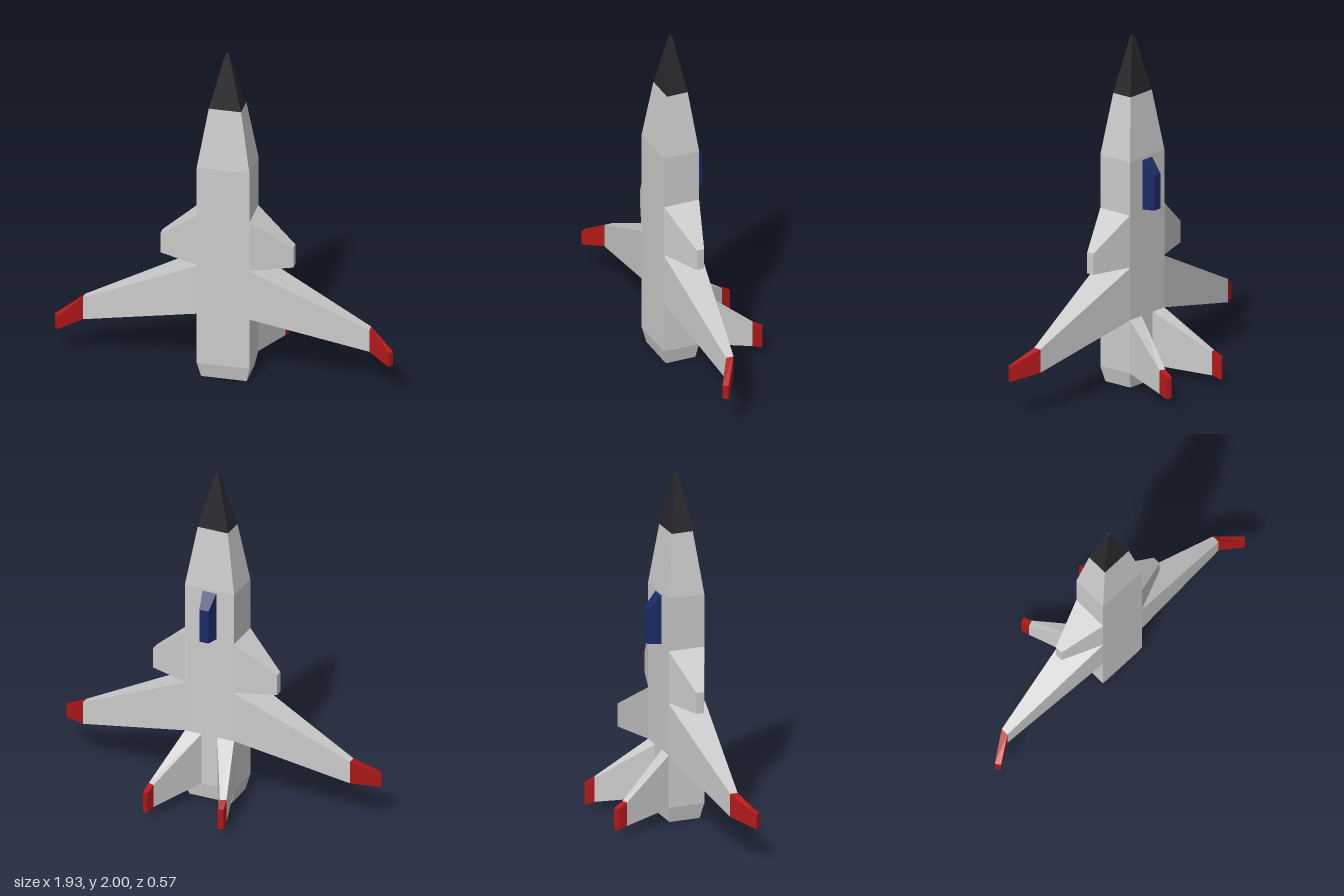
import * as THREE from 'three';

const GREY = 0xcccccc, RED = 0xb01818, DARK = 0x27272b, BLUE = 0x1b2a66, ORANGE = 0xd9761c;

// Rectangular cross-sections, counter-clockwise seen from the direction of travel
const alongY = (y, x, z0, z1) => [[-x, y, z1], [x, y, z1], [x, y, z0], [-x, y, z0]];
const alongX = (y0, y1, [xBack, zBack], [xFront, zFront]) => [
  [xFront, y0, zFront], [xBack, y0, zBack], [xBack, y1, zBack], [xFront, y1, zFront]];
const alongBack = (y0, y1, [xIn, zIn], [xOut, zOut]) => [
  [xOut, y0, zOut], [xIn, y0, zIn], [xIn, y1, zIn], [xOut, y1, zOut]];

// Skin a run of four-cornered sections; side -1 builds the mirror image
function loft(name, color, sections, { side = 1, start = true, end = true } = {}) {
  const rings = sections.map((ring) => {
    const pts = ring.map(([x, y, z]) => [x * side, y, z]);
    return side < 0 ? pts.reverse() : pts;
  });
  const pos = [];
  const quad = (a, b, c, d) => pos.push(...a, ...b, ...c, ...a, ...c, ...d);
  for (let i = 0; i + 1 < rings.length; i++) {
    const lo = rings[i], hi = rings[i + 1];
    for (let j = 0; j < 4; j++) {
      const k = (j + 1) % 4;
      quad(lo[j], lo[k], hi[k], hi[j]);
    }
  }
  if (start) quad(...[...rings[0]].reverse());
  if (end) quad(...rings[rings.length - 1]);
  const geo = new THREE.BufferGeometry();
  geo.setAttribute('position', new THREE.Float32BufferAttribute(pos, 3));
  geo.computeVertexNormals();
  const mesh = new THREE.Mesh(geo, new THREE.MeshStandardMaterial({ color, flatShading: true }));
  mesh.name = name;
  return mesh;
}

export function createModel() {
  const model = new THREE.Group();
  model.name = 'jet';

  // Fuselage, from exhaust edge up to the nose cone
  const exhaustEdge = alongY(0, 0.13, 0.08, 0.26);
  const noseBase = alongY(1.675, 0.092, 0.11, 0.235);
  model.add(loft('fuselage', GREY, [
    exhaustEdge,
    alongY(0.09, 0.15, 0.067, 0.28),
    alongY(1.32, 0.15, 0.067, 0.28),
    noseBase,
  ], { start: false, end: false }));
  model.add(loft('noseCone', DARK, [noseBase, alongY(2, 0.01, 0.166, 0.18)], { start: false }));

  // Exhaust: dark rim around a glowing recess
  const exhaustMouth = alongY(0, 0.112, 0.096, 0.244);
  model.add(loft('exhaustRim', DARK, [exhaustMouth, exhaustEdge], { start: false, end: false }));
  model.add(loft('exhaustRecess', ORANGE, [alongY(0.05, 0.105, 0.102, 0.238), exhaustMouth], { end: false }));

  // Canopy on the back
  model.add(loft('canopy', BLUE, [
    alongBack(1.018, 1.305, [-0.042, 0.067], [0.042, 0.067]),
    alongBack(1.023, 1.225, [-0.028, -0.006], [0.028, -0.006]),
  ], { start: false }));

  for (const side of [1, -1]) {
    const label = side > 0 ? 'left' : 'right';
    const add = (name, color, sections, options) =>
      model.add(loft(label + name, color, sections, { side, start: false, ...options }));

    // Forward canard
    add('Canard', GREY, [
      alongX(0.707, 1.01, [0.15, 0.067], [0.15, 0.28]),
      alongX(0.707, 0.83, [0.378, 0.14], [0.378, 0.185]),
    ]);

    // Main wing with bent-forward tip
    const wingEnd = alongX(0.242, 0.378, [0.815, 0.16], [0.815, 0.205]);
    add('Wing', GREY, [alongX(0.4, 0.702, [0.15, 0.067], [0.15, 0.28]), wingEnd], { end: false });
    add('WingTip', RED, [wingEnd, alongX(0.205, 0.288, [0.963, 0.257], [0.942, 0.285])]);

    // Splayed tail fin
    const finEnd = alongBack(0.052, 0.19, [0.203, -0.232], [0.237, -0.218]);
    add('TailFin', GREY, [alongBack(0.09, 0.4, [0.048, 0.067], [0.15, 0.067]), finEnd], { end: false });
    add('TailFinTip', RED, [finEnd, alongBack(0.035, 0.16, [0.216, -0.288], [0.246, -0.273])]);
  }
  return model;
}
